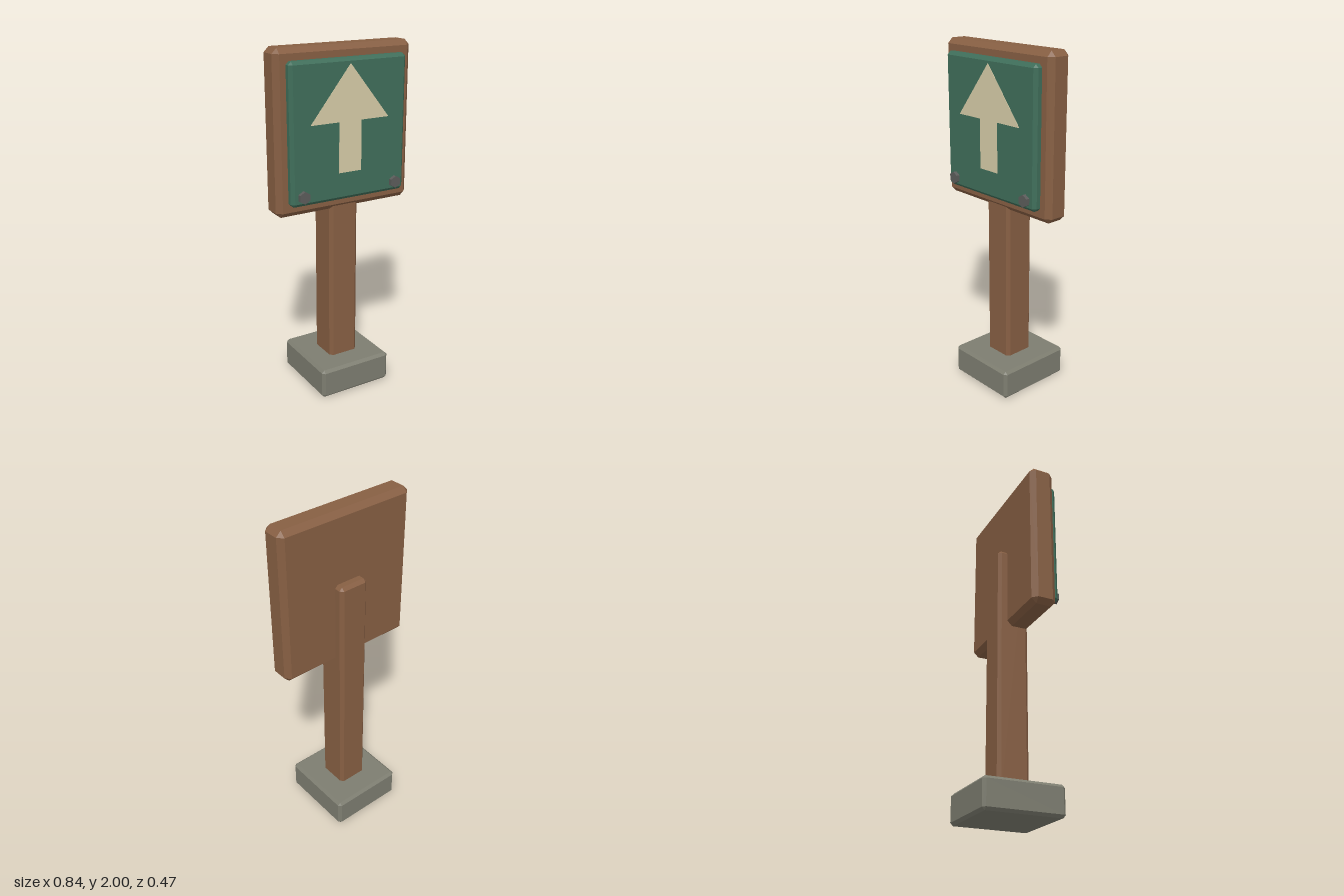
import * as THREE from 'three';
import { ConvexGeometry } from 'three/addons/geometries/ConvexGeometry.js';

const material = (name, color) => {
  const m = new THREE.MeshStandardMaterial({ color });
  m.name = name;
  return m;
};

// Box with flat chamfers on every edge, given by its lower and upper corners
function chamferBox(min, max, c) {
  const points = [];
  const mid = min.map((v, i) => (v + max[i]) / 2);
  const half = min.map((v, i) => (max[i] - v) / 2);
  for (const sx of [-1, 1]) for (const sy of [-1, 1]) for (const sz of [-1, 1]) {
    for (let axis = 0; axis < 3; axis++) {
      const p = [sx, sy, sz].map((s, i) => mid[i] + s * (half[i] - (i === axis ? 0 : c)));
      points.push(new THREE.Vector3(...p));
    }
  }
  return new ConvexGeometry(points);
}

export function createModel() {
  const model = new THREE.Group();
  model.name = 'signpost';
  const wood = material('brown wood', 0x875f43);
  const green = material('green panel', 0x3f6e5a);
  const cream = material('cream paint', 0xd6cba7);
  const stone = material('grey stone', 0x7d7d70);
  const iron = material('dark iron', 0x5b5c5a);

  const add = (name, geometry, mat) => {
    const mesh = new THREE.Mesh(geometry, mat);
    mesh.name = name;
    model.add(mesh);
    return mesh;
  };

  // Foot, post, board and sign face
  add('base', chamferBox([-0.225, 0, -0.234], [0.225, 0.175, 0.234], 0.016), stone);
  add('post', chamferBox([-0.091, 0.1, -0.093], [0.091, 1.593, 0.093], 0.018), wood);
  add('board', chamferBox([-0.422, 1.1, -0.04], [0.422, 2, 0.106], 0.029), wood);
  add('panel', chamferBox([-0.36, 1.165, 0.09], [0.36, 1.935, 0.151], 0.018), green);

  // Painted arrow pointing up
  const arrow = new THREE.Shape([
    [0, 1.905], [-0.244, 1.6], [-0.07, 1.6], [-0.07, 1.32],
    [0.07, 1.32], [0.07, 1.6], [0.244, 1.6],
  ].map(([x, y]) => new THREE.Vector2(x, y)));
  const arrowPlate = new THREE.ExtrudeGeometry(arrow, { depth: 0.003, bevelEnabled: false });
  add('arrow', arrowPlate.translate(0, 0, 0.15), cream);

  // Hexagonal bolts at the lower corners
  for (const side of [-1, 1]) {
    const head = new THREE.CylinderGeometry(0.035, 0.035, 0.03, 6).toNonIndexed();
    head.rotateX(Math.PI / 2).computeVertexNormals();
    add(side > 0 ? 'leftBolt' : 'rightBolt', head, iron).position.set(side * 0.292, 1.22, 0.157);
  }
  return model;
}
